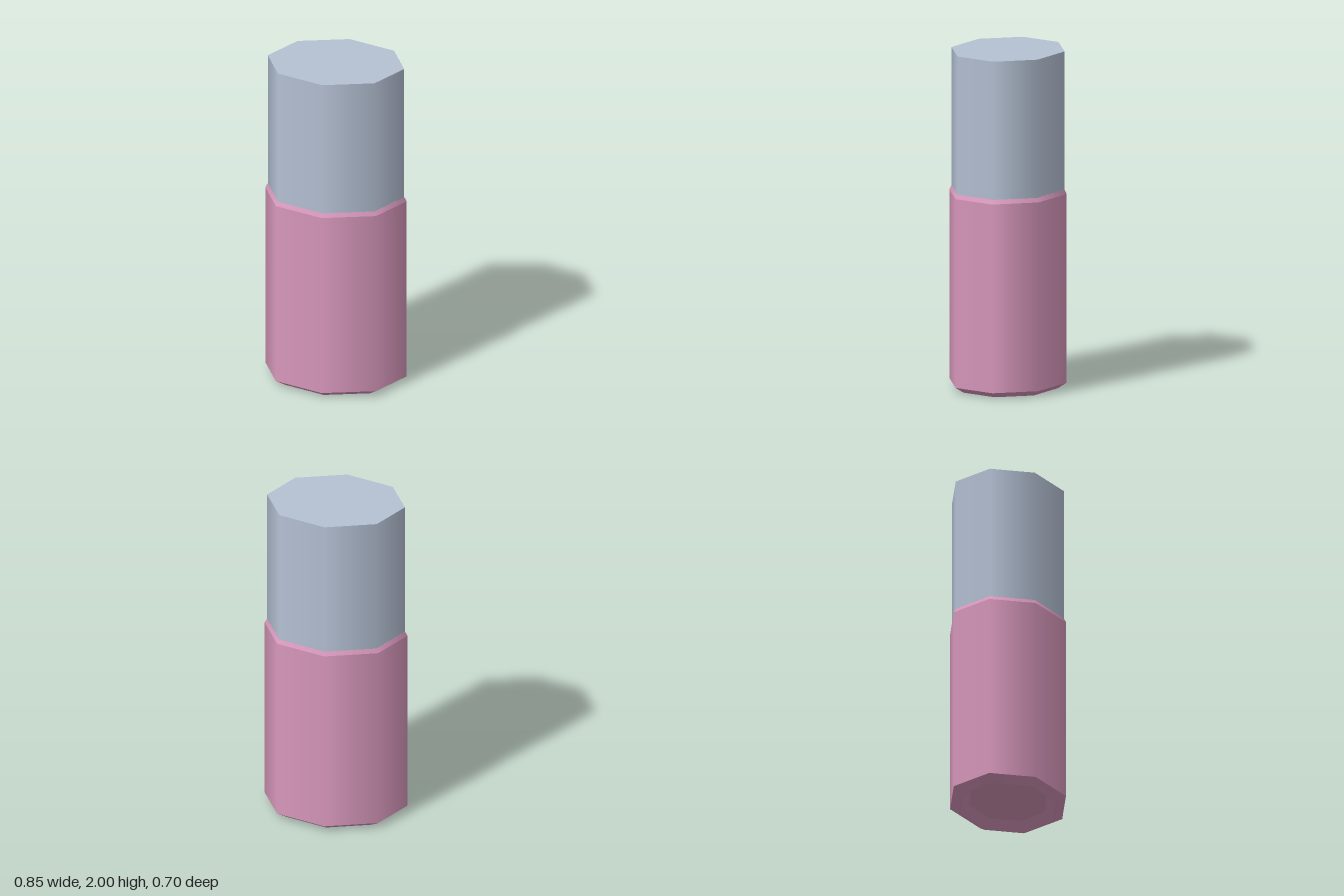
import * as THREE from 'three';
import { mergeGeometries } from 'three/addons/utils/BufferGeometryUtils.js';

const DEPTH_RATIO = 0.35 / 0.425; // the octagon is wider than deep

// Eight-sided lathe: smooth around each band, crisp edges between bands
function octagonalLathe(profile) {
  const bands = [];
  for (let i = 0; i < profile.length - 1; i++) {
    const pair = [profile[i], profile[i + 1]].map(([r, y]) => new THREE.Vector2(r, y));
    bands.push(new THREE.LatheGeometry(pair, 8));
  }
  return mergeGeometries(bands).scale(1, 1, DEPTH_RATIO);
}

export function createModel() {
  const pink = new THREE.MeshStandardMaterial({ color: 0xd898bc });
  pink.name = 'pink';
  const blueGrey = new THREE.MeshStandardMaterial({ color: 0xb5c1d4 });
  blueGrey.name = 'blue grey';

  // Lower body: recessed base, bevelled foot, straight sides, bevelled shoulder
  const body = new THREE.Mesh(octagonalLathe([
    [0, 0.046], [0.287, 0.046], [0.352, 0], [0.36, 0],
    [0.425, 0.035], [0.425, 1.155], [0.411, 1.18], [0, 1.18],
  ]), pink);
  body.name = 'body';

  // Cap: plain column with a flat top
  const cap = new THREE.Mesh(octagonalLathe([
    [0, 1.17], [0.41, 1.17], [0.41, 2], [0, 2],
  ]), blueGrey);
  cap.name = 'cap';

  const group = new THREE.Group();
  group.name = 'cappedContainer';
  group.add(body, cap);
  return group;
}
